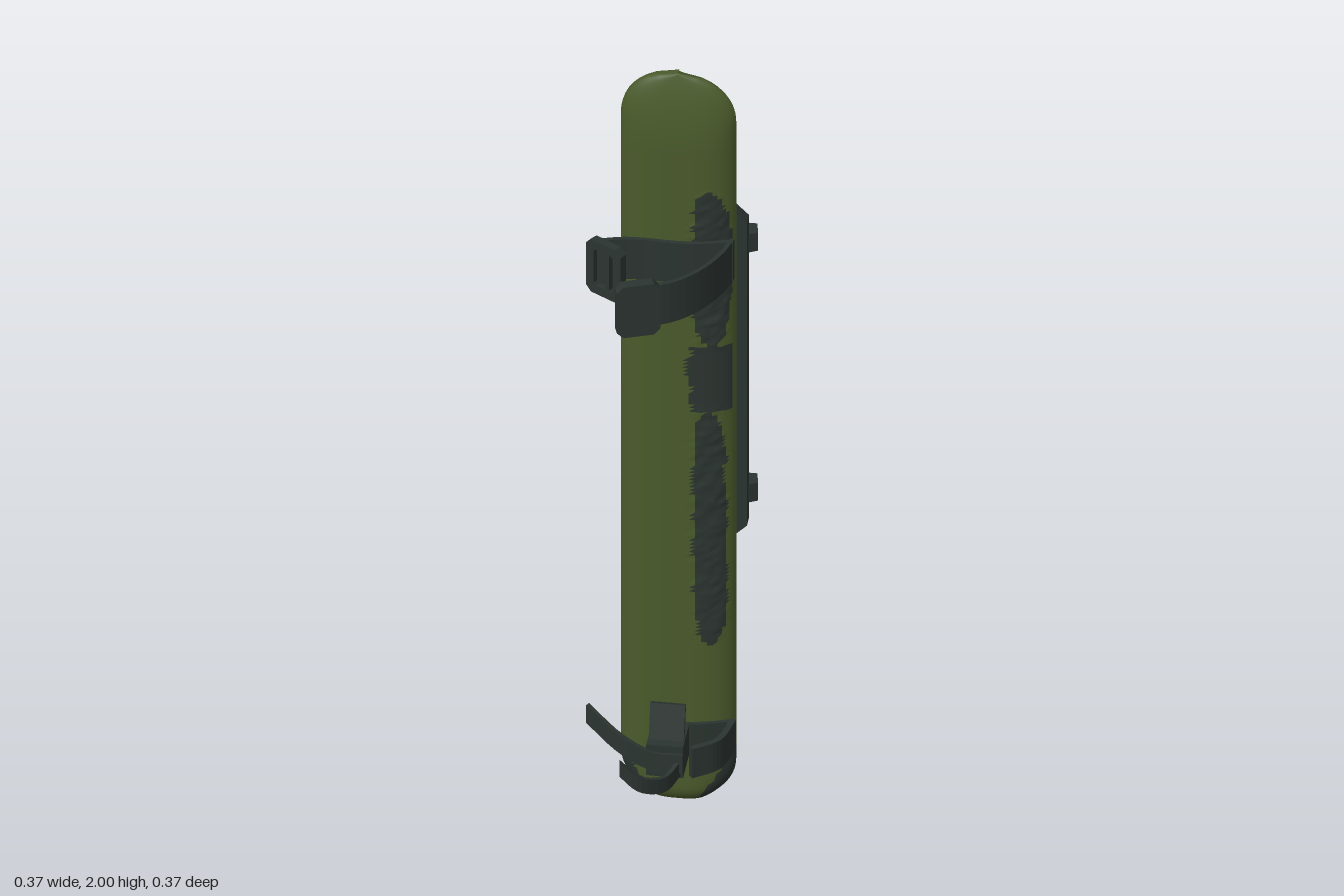
import * as THREE from 'three';

const olive = new THREE.MeshStandardMaterial({ color: 0x4a5a2b });
olive.name = 'olive shell';
const dark = new THREE.MeshStandardMaterial({ color: 0x2b3430 });
dark.name = 'dark fittings';

const CX = 0.0125, W = 0.132;

function hash(a, b) {
  const s = Math.sin(a * 127.1 + b * 311.7) * 43758.5453;
  return s - Math.floor(s);
}

// Half width of the board at height y
function halfWidth(y) {
  if (y > 1.87) return W * Math.pow(Math.max(0, 1 - Math.pow((y - 1.87) / 0.13, 2.3)), 0.5);
  if (y < 0.12) return W * (1 - 0.5 * Math.pow(1 - y / 0.12, 2.5));
  return W;
}

// Thickness factor of the board at height y
function thickness(y) {
  if (y > 1.8) return 1 - 0.78 * Math.pow((y - 1.8) / 0.2, 2);
  if (y < 0.04) return 1 - 0.4 * Math.pow(1 - y / 0.04, 2);
  return 1;
}

// Worn strip near the left edge
function isWorn(x, y) {
  const j = (hash(Math.round(y * 40), 3) - 0.5) * 0.022;
  if (y > 1.27 && y < 1.7) {
    const e = Math.sqrt(1 - Math.pow((y - 1.485) / 0.215, 4));
    return Math.abs(x - 0.09 - j * 0.5) < 0.043 * e;
  }
  if (y >= 1.09 && y <= 1.27) return x > 0.04 + j && x < 0.136;
  if (y > 0.44 && y < 1.09) {
    const e = Math.pow(1 - Math.pow((y - 0.765) / 0.326, 6), 0.5);
    return Math.abs(x - 0.088 - j * 0.5) < 0.036 * e;
  }
  return false;
}

// Dark corners at the foot of the board
function isCorner(x, y) {
  return Math.abs(x - CX) > 0.045 + y * 0.6;
}

// Board lofted from a domed cross-section
function makeBoard() {
  const N = 28, ring = 2 * N, pos = [], ys = [0];
  for (let k = 0; k <= 200; k++) ys.push(k / 100);
  ys.forEach((y, row) => {
    const w = row === 0 ? 0 : halfWidth(y), t = thickness(y);
    for (let k = 0; k < ring; k++) {
      const front = k < N;
      const s = Math.sin((front ? k / N - 0.5 : 1.5 - k / N) * Math.PI);
      const x = CX + s * w;
      const a = Math.abs(s);
      let d = front ? 0.045 * Math.pow(1 - a ** 3, 0.6) : -0.024 * Math.sqrt(1 - a ** 8);
      if (isWorn(x, y) && !(y > 1.09 && y < 1.27)) d += (front ? 1 : -1) * (hash(k, row) * 0.006 - 0.002);
      pos.push(x, y, -0.083 + (row === 0 ? 0 : d * t) + (front ? 0 : 0.005 * s));
    }
  });
  const green = [], black = [];
  for (let r = 0; r < ys.length - 1; r++) {
    for (let k = 0; k < ring; k++) {
      const a = r * ring + k, b = r * ring + (k + 1) % ring, c = b + ring, d = a + ring;
      for (const tri of [[a, b, c], [a, c, d]]) {
        const x = tri.reduce((m, i) => m + pos[3 * i], 0) / 3;
        const y = tri.reduce((m, i) => m + pos[3 * i + 1], 0) / 3;
        (isWorn(x, y) || isCorner(x, y) && y < 0.145 ? black : green).push(...tri);
      }
    }
  }
  const g = new THREE.BufferGeometry();
  g.setAttribute('position', new THREE.Float32BufferAttribute(pos, 3));
  g.setIndex([...green, ...black]);
  g.addGroup(0, green.length, 0);
  g.addGroup(green.length, black.length, 1);
  g.computeVertexNormals();
  return new THREE.Mesh(g, [olive, dark]);
}

// Upright band swept along a path
function band(points, height, thick = 0.01, steps = 14) {
  const curve = new THREE.CatmullRomCurve3(points.map(p => new THREE.Vector3(...p)));
  const rings = [];
  for (let i = 0; i <= steps; i++) {
    const p = curve.getPoint(i / steps), t = curve.getTangent(i / steps);
    const n = new THREE.Vector3(t.z, 0, -t.x).normalize().multiplyScalar(thick / 2);
    rings.push([[1, -1], [1, 1], [-1, 1], [-1, -1]].map(([u, v]) =>
      [p.x + u * n.x, p.y + v * height / 2, p.z + u * n.z]));
  }
  const out = [];
  const quad = (a, b, c, d) => out.push(...a, ...b, ...c, ...a, ...c, ...d);
  for (let i = 0; i < steps; i++) {
    for (let k = 0; k < 4; k++) {
      const m = (k + 1) % 4;
      quad(rings[i][k], rings[i][m], rings[i + 1][m], rings[i + 1][k]);
    }
  }
  quad(...rings[steps]);
  quad(...[...rings[0]].reverse());
  const g = new THREE.BufferGeometry();
  g.setAttribute('position', new THREE.Float32BufferAttribute(out, 3));
  g.computeVertexNormals();
  return g;
}

function roundRect(path, w, h, r) {
  const x = w / 2, y = h / 2;
  path.moveTo(-x + r, -y).lineTo(x - r, -y).lineTo(x, -y + r).lineTo(x, y - r)
    .lineTo(x - r, y).lineTo(-x + r, y).lineTo(-x, y - r).lineTo(-x, -y + r);
  path.closePath();
  return path;
}

// Chamfered plate, optionally with a window
function plate(w, h, depth, r, hole) {
  const shape = roundRect(new THREE.Shape(), w, h, r);
  if (hole) {
    const p = roundRect(new THREE.Path(), hole[0], hole[1], 0.006);
    shape.holes.push(p);
  }
  const g = new THREE.ExtrudeGeometry(shape, { depth, bevelEnabled: false });
  return g.translate(0, 0, -depth / 2);
}

export function createModel() {
  const model = new THREE.Group();
  const add = (name, geo, p = [0, 0, 0], r = [0, 0, 0]) => {
    const m = new THREE.Mesh(geo, dark);
    m.name = name;
    m.position.set(...p);
    m.rotation.set(...r);
    model.add(m);
  };

  const board = makeBoard();
  board.name = 'board';
  model.add(board);

  // Mounting plate with two rungs on the back
  add('backPlate', plate(0.23, 0.9, 0.034, 0.03), [0.05, 1.16, -0.119]);
  const rung = new THREE.Shape([[-0.065, 0.13], [-0.01, 0.172], [0.03, 0.18], [0.12, 0.175], [0.178, 0.175],
    [0.185, 0.14], [0.165, 0.13]].map(p => new THREE.Vector2(...p)));
  for (const y of [0.81, 1.505]) {
    const g = new THREE.ExtrudeGeometry(rung, { depth: 0.05, bevelEnabled: false });
    add('rung', g, [0, y - 0.025, 0], [-Math.PI / 2, 0, 0]);
  }

  // Upper strap: two open halves, each with a buckle
  add('upperStrapLeft', band([[0.138, 1.51, -0.06], [0.12, 1.51, 0.0], [0.08, 1.51, 0.07], [0.03, 1.51, 0.12],
    [-0.03, 1.51, 0.15]], 0.11));
  add('upperStrapRight', band([[0.14, 1.51, -0.052], [0.04, 1.51, -0.03], [-0.1, 1.51, -0.028], [-0.165, 1.51, -0.004],
    [-0.12, 1.51, 0.02]], 0.11));
  add('upperBuckleLeft', plate(0.1, 0.14, 0.025, 0.015), [-0.045, 1.51, 0.16], [0, 0.35, 0]);
  add('upperBuckleRight', plate(0.1, 0.145, 0.02, 0.015, [0.055, 0.1]), [-0.138, 1.51, 0.022], [0, -0.53, 0]);
  add('upperBuckleBar', new THREE.BoxGeometry(0.012, 0.12, 0.016), [-0.13, 1.51, 0.026], [0, -0.53, 0]);

  // Lower strap: edge bracket, upright clip and two curled tongues
  add('lowerBracket', band([[0.14, 0.19, -0.06], [0.118, 0.19, 0.02], [0.062, 0.19, 0.065]], 0.08, 0.014));
  add('lowerStrapBase', band([[0.14, 0.19, -0.055], [0.05, 0.19, -0.03], [-0.04, 0.19, -0.03]], 0.08));
  add('lowerClip', new THREE.BoxGeometry(0.084, 0.085, 0.095), [0.003, 0.19, 0.022]);
  add('lowerClipTab', new THREE.BoxGeometry(0.08, 0.1, 0.012), [0.003, 0.265, 0.03], [-0.3, 0, 0]);
  add('lowerTongueRight', band([[0.045, 0.19, 0.072], [-0.03, 0.19, 0.068], [-0.1, 0.215, 0.05],
    [-0.183, 0.255, 0.0]], 0.05));
  add('lowerTongueFront', band([[0.035, 0.175, 0.07], [0.01, 0.165, 0.12], [-0.04, 0.19, 0.165],
    [-0.085, 0.235, 0.172]], 0.04));
  return model;
}
